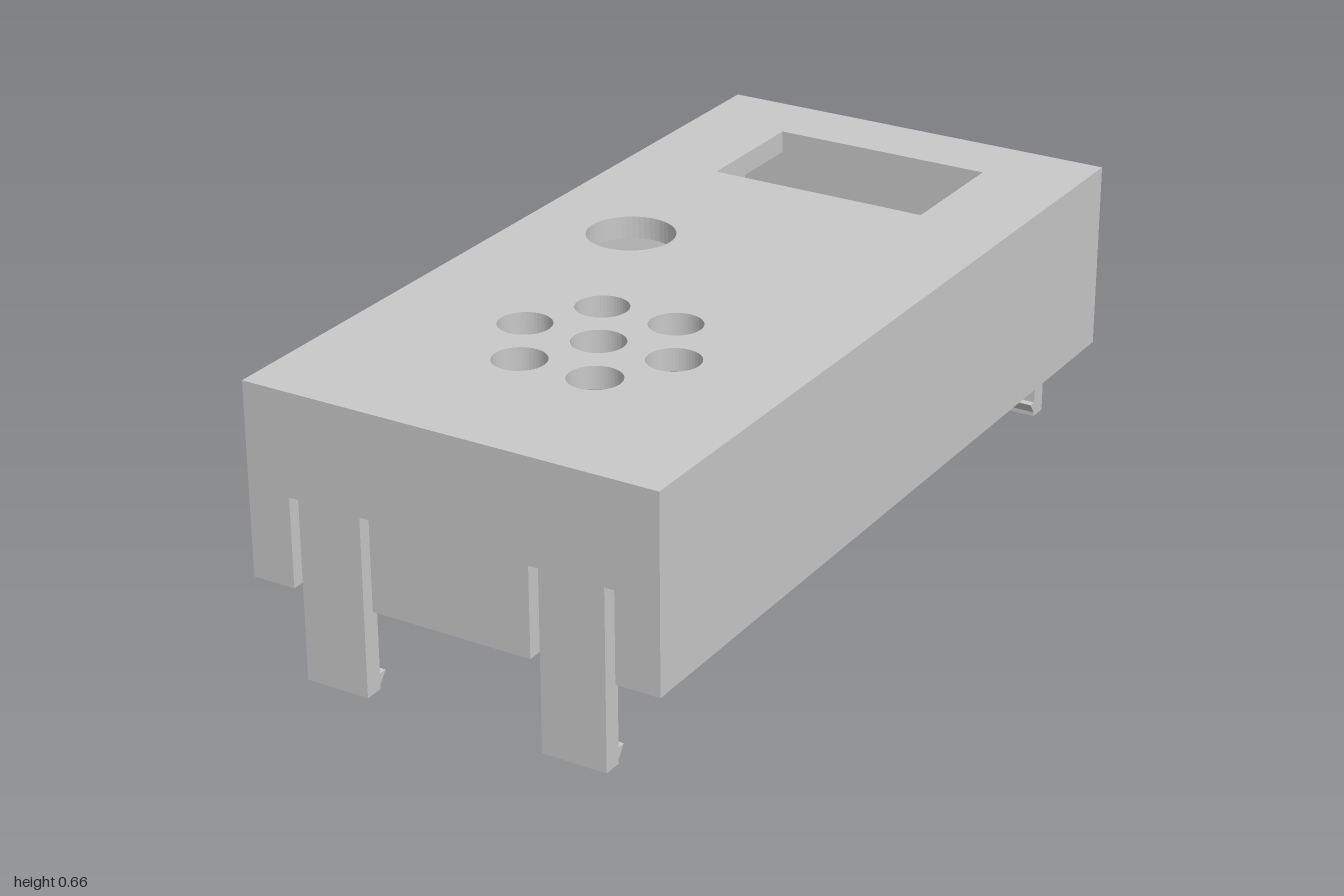
import * as THREE from 'three';

const HALF_W = 0.497, HALF_L = 1, TOP = 0.66, BOTTOM = 0.21;
const WALL = 0.053, LID = 0.053;
const SLOT_TOP = 0.42, CLIP_X = 0.293, CLIP_HALF = 0.077, SLOT = 0.023;

const polygon = (points) => new THREE.Shape(points.map(([x, y]) => new THREE.Vector2(x, y)));

const extrude = (shape, depth) =>
  new THREE.ExtrudeGeometry(shape, { depth, bevelEnabled: false, curveSegments: 24 });

function circleHole(x, z, radius) {
  const path = new THREE.Path();
  path.absarc(x, z, radius, 0, Math.PI * 2, true);
  return path;
}

export function createModel() {
  const model = new THREE.Group();
  model.name = 'enclosureCover';
  const grey = new THREE.MeshStandardMaterial({ color: 0xc8c8c8 });
  grey.name = 'light grey plastic';

  const add = (parent, name, geometry) => {
    const mesh = new THREE.Mesh(geometry, grey);
    mesh.name = name;
    parent.add(mesh);
    return mesh;
  };

  // Top plate with display window, button hole and speaker holes (shape y becomes z)
  const plate = polygon([[-HALF_W, -HALF_L], [HALF_W, -HALF_L], [HALF_W, HALF_L], [-HALF_W, HALF_L]]);
  plate.holes.push(polygon([[-0.27, -0.826], [-0.27, -0.511], [0.27, -0.511], [0.27, -0.826]]));
  plate.holes.push(circleHole(-0.238, -0.08, 0.102));
  plate.holes.push(circleHole(0.021, 0.464, 0.06));
  for (let i = 0; i < 6; i++) {
    const a = (i * Math.PI) / 3;
    plate.holes.push(circleHole(0.021 + 0.184 * Math.cos(a), 0.464 + 0.184 * Math.sin(a), 0.06));
  }
  add(model, 'topPlate', extrude(plate, LID).rotateX(Math.PI / 2).translate(0, TOP, 0));

  // Long side walls
  const wallTop = TOP - LID, wallHeight = wallTop - BOTTOM;
  for (const [name, side] of [['leftWall', 1], ['rightWall', -1]]) {
    const wall = add(model, name, new THREE.BoxGeometry(WALL, wallHeight, 2 * (HALF_L - WALL)));
    wall.position.set(side * (HALF_W - WALL / 2), BOTTOM + wallHeight / 2, 0);
  }

  // End wall outline: slots flank each clip
  const outline = [[-HALF_W, wallTop], [-HALF_W, BOTTOM]];
  for (const clip of [-CLIP_X, CLIP_X]) {
    for (const edge of [clip - CLIP_HALF - SLOT, clip + CLIP_HALF]) {
      outline.push([edge, BOTTOM], [edge, SLOT_TOP], [edge + SLOT, SLOT_TOP], [edge + SLOT, BOTTOM]);
    }
  }
  outline.push([HALF_W, BOTTOM], [HALF_W, wallTop]);
  const endGeometry = extrude(polygon(outline), WALL).translate(0, 0, HALF_L - WALL);

  // Clip profile with a pointed inward hook at the foot, as (z, y)
  const inner = HALF_L - 0.045;
  const clipProfile = polygon([
    [HALF_L, 0], [HALF_L, BOTTOM], [inner, BOTTOM], [inner, 0.037],
    [inner - 0.02, 0.037], [inner, 0.01], [inner, 0],
  ]);
  const clipGeometry = extrude(clipProfile, 2 * CLIP_HALF)
    .rotateY(-Math.PI / 2)
    .translate(CLIP_HALF, 0, 0);

  // Matching front and back ends
  for (const [name, turn] of [['frontEnd', 0], ['backEnd', Math.PI]]) {
    const end = new THREE.Group();
    end.name = name;
    end.rotation.y = turn;
    add(end, 'endWall', endGeometry);
    for (const x of [-CLIP_X, CLIP_X]) add(end, 'snapClip', clipGeometry).position.x = x;
    model.add(end);
  }
  return model;
}
